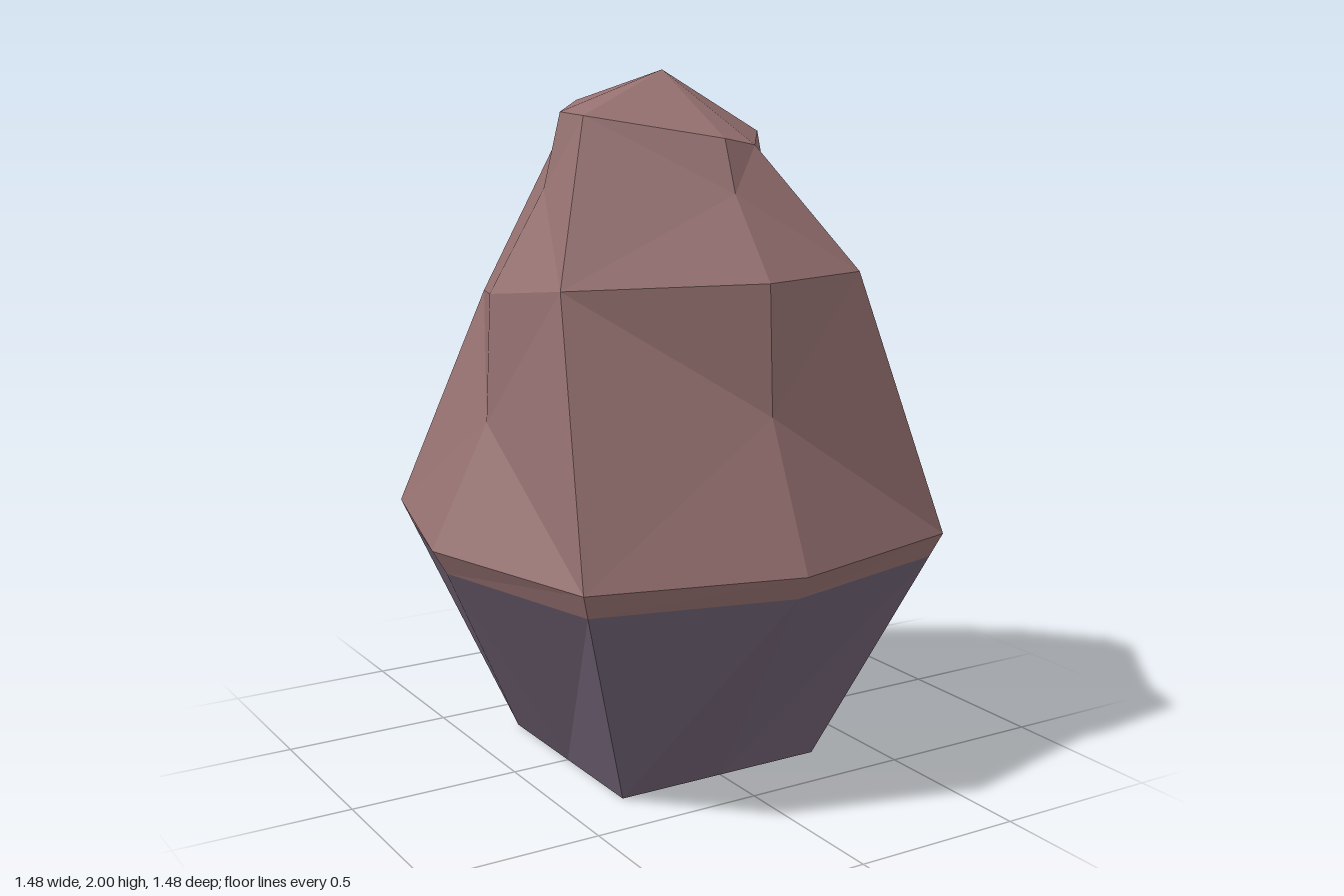
import * as THREE from 'three';

// Four-cornered ring: (x, z) of its front right-hand corner is turned by quarter
// circles; ys gives the height at each corner, r the reach of the side midpoints.
const ring = (x, z, ys, r) => ({ x, z, ys, r });

// Quarter turns about the vertical axis
const turn = ([x, y, z], k) => {
  for (let i = 0; i < k; i++) [x, z] = [z, -x];
  return [x, y, z];
};

const corner = (g, k) => turn([g.x, g.ys[k % 4], g.z], k);

// Point above the middle of side k on the line from p to q, pushed out to reach r
function middle(p, q, k, r) {
  const a = turn(p, (4 - k) % 4), b = turn(q, (4 - k) % 4);
  const t = a[0] / (a[0] - b[0]);
  return turn([0, a[1] + (b[1] - a[1]) * t, r], k);
}

const ringMiddle = (g, k) => middle(corner(g, k), corner(g, k + 1), k, g.r);

function makeMesh(name, triangles, material) {
  const geometry = new THREE.BufferGeometry();
  geometry.setAttribute('position', new THREE.Float32BufferAttribute(triangles.flat(2), 3));
  geometry.computeVertexNormals();
  const mesh = new THREE.Mesh(geometry, material);
  mesh.name = name;
  return mesh;
}

// Plain band: two panels on every side
function straightBand(lo, hi) {
  const tris = [];
  for (let k = 0; k < 4; k++) {
    const l = [corner(lo, k), ringMiddle(lo, k), corner(lo, k + 1)];
    const h = [corner(hi, k), ringMiddle(hi, k), corner(hi, k + 1)];
    for (let i = 0; i < 2; i++) {
      tris.push([l[i], l[i + 1], h[i + 1]], [l[i], h[i + 1], h[i]]);
    }
  }
  return tris;
}

// Twisted band: each side folds along a diagonal with a bulging middle point
function twistedBand(lo, hi, bulge) {
  const tris = [];
  for (let k = 0; k < 4; k++) {
    const l0 = corner(lo, k), l1 = corner(lo, k + 1), lm = ringMiddle(lo, k);
    const h0 = corner(hi, k), h1 = corner(hi, k + 1), hm = ringMiddle(hi, k);
    const d = middle(h0, l1, k, bulge);
    tris.push([l0, lm, d], [l0, d, h0], [lm, l1, d], [h0, d, hm], [d, l1, h1], [d, h1, hm]);
  }
  return tris;
}

// Fan closing a ring towards one point
function cap(g, tip, down = false) {
  const tris = [];
  for (let k = 0; k < 4; k++) {
    const a = corner(g, k), m = ringMiddle(g, k), b = corner(g, k + 1);
    for (const [p, q] of [[a, m], [m, b]]) tris.push(down ? [q, p, tip] : [p, q, tip]);
  }
  return tris;
}

export function createModel() {
  const brown = new THREE.MeshStandardMaterial({ color: 0x957070, flatShading: true });
  const purple = new THREE.MeshStandardMaterial({ color: 0x6e6071, flatShading: true });
  brown.name = 'dusty brown';
  purple.name = 'dark purple';

  const level = (y) => [y, y, y, y];
  const foot = ring(-0.325, 0.325, level(0), 0.325);
  const seam = ring(-0.559, 0.559, level(0.63), 0.6985);
  const rim = ring(-0.585, 0.585, level(0.7), 0.74);
  const shoulder = ring(-0.505, 0.327, [1.44, 1.46, 1.34, 1.34], 0.55);
  const crown = ring(-0.313, 0.107, [1.88, 1.8, 1.83, 1.91], 0.327);

  const group = new THREE.Group();
  group.name = 'twistedRock';
  group.add(
    makeMesh('base', [...cap(foot, [0, 0, 0], true), ...straightBand(foot, seam)], purple),
    makeMesh('rimBand', straightBand(seam, rim), brown),
    makeMesh('lowerBody', twistedBand(rim, shoulder, 0.567), brown),
    makeMesh('upperBody', twistedBand(shoulder, crown, 0.38), brown),
    makeMesh('peak', cap(crown, [0, 2, 0]), brown),
  );
  return group;
}
